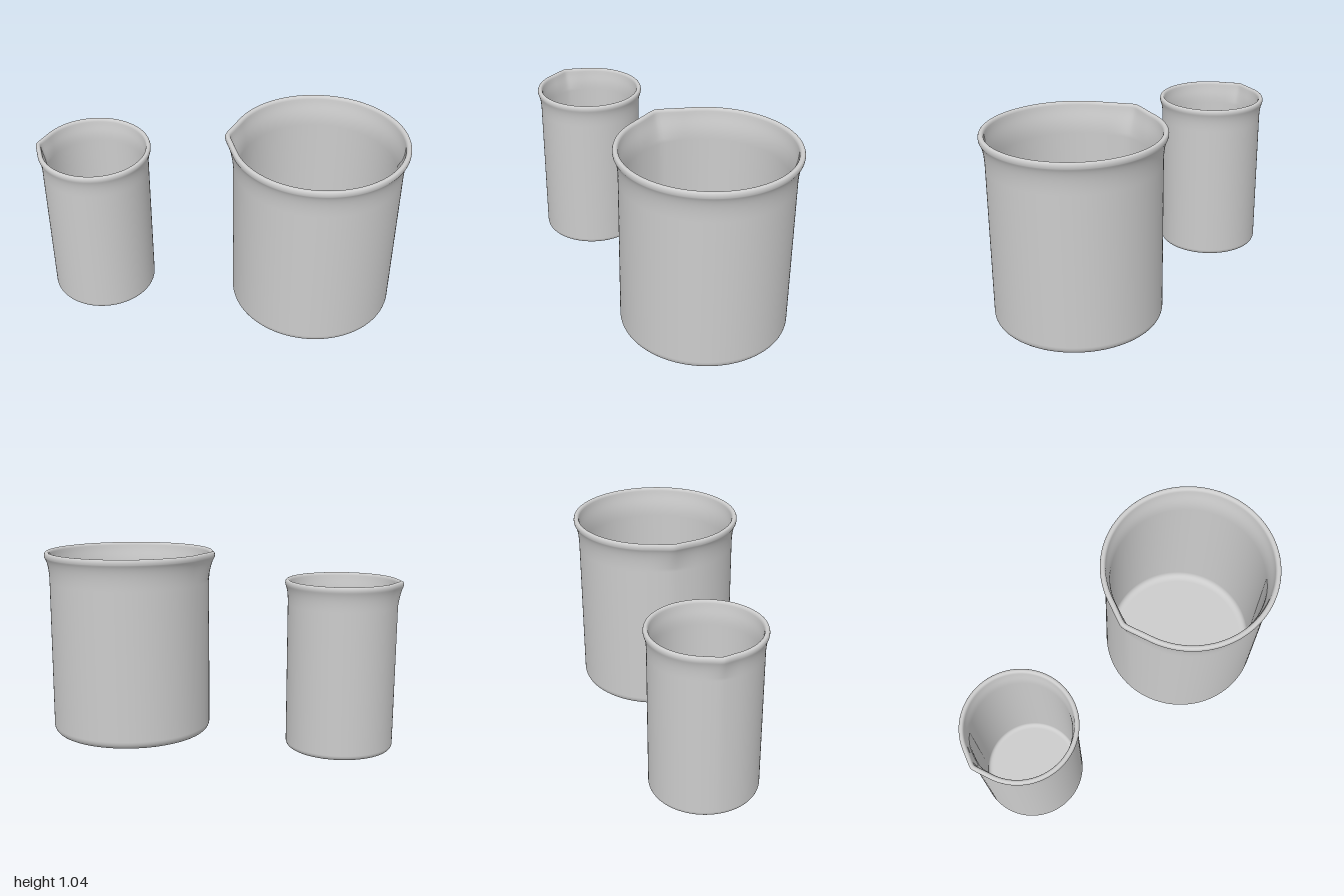
import * as THREE from 'three';
import { mergeVertices } from 'three/addons/utils/BufferGeometryUtils.js';

const material = new THREE.MeshStandardMaterial({ color: 0xcccccc });

// Closed wall section: base, outer wall, flared rounded lip, inner wall, floor
function wallProfile({ radius, rim, height, wall, fillet, flare, lip }) {
  const inner = radius - wall;
  const lipBase = height - lip;
  const mid = height - lip / 2;
  const p = new THREE.Path();
  p.moveTo(0, 0);
  p.lineTo(radius - fillet, 0);
  p.bezierCurveTo(radius - fillet * 0.4, 0, radius, fillet * 0.4, radius, fillet);
  p.lineTo(radius, height - flare);
  p.bezierCurveTo(radius, height - flare * 0.55, radius + (rim - radius) * 0.4, lipBase - lip * 0.6, rim - 0.003, lipBase);
  p.quadraticCurveTo(rim + 0.002, mid, rim - 0.004, height - lip * 0.15);
  p.quadraticCurveTo(rim - 0.008, height, rim - 0.014, height);
  p.quadraticCurveTo(rim - wall, height, rim - wall - 0.003, mid);
  p.bezierCurveTo(rim - wall - 0.008, lipBase - lip, inner, height - flare * 0.55, inner, height - flare);
  p.lineTo(inner, wall + fillet);
  p.quadraticCurveTo(inner, wall, inner - fillet, wall);
  p.lineTo(0, wall);
  return p.getPoints(10);
}

// Revolved cup whose upper edge is drawn out into a pouring spout on the -x side
function beaker(name, o) {
  let geo = new THREE.LatheGeometry(wallProfile(o), 144, Math.PI / 2);
  const pos = geo.attributes.position;
  const reach = Math.acos(o.rim / (o.rim + o.spout));
  for (let i = 0; i < pos.count; i++) {
    const x = pos.getX(i), y = pos.getY(i), z = pos.getZ(i);
    const r = Math.hypot(x, z);
    if (r < 1e-6) continue;
    const angle = Math.hypot(Math.atan2(z, -x), 0.03); // slightly blunted tip
    if (angle >= reach) continue;
    // Straight tangent sides meet at the tip; the pull fades down the wall
    const fade = THREE.MathUtils.smoothstep(y, o.height - o.flare * 1.6, o.height - o.lip * 0.3);
    const pull = o.rim * (1 / Math.cos(reach - angle) - 1) * fade * 1.08;
    const k = (r + pull) / r;
    const lift = o.lift * fade * (1 - angle / reach);
    pos.setXYZ(i, x * k, y + lift, z * k);
  }
  geo.deleteAttribute('normal');
  geo.deleteAttribute('uv');
  geo = mergeVertices(geo, 1e-5);
  geo.computeVertexNormals();
  const mesh = new THREE.Mesh(geo, material);
  mesh.name = name;
  mesh.position.x = o.x;
  return mesh;
}

export function createModel() {
  const group = new THREE.Group();
  group.name = 'beakers';
  group.add(
    beaker('largeBeaker', {
      x: 0.526, radius: 0.447, rim: 0.473, height: 1.03, wall: 0.027,
      fillet: 0.045, flare: 0.17, lip: 0.032, spout: 0.03, lift: 0.007,
    }),
    beaker('smallBeaker', {
      x: -0.679, radius: 0.288, rim: 0.304, height: 0.912, wall: 0.024,
      fillet: 0.028, flare: 0.13, lip: 0.03, spout: 0.019, lift: 0.003,
    }),
  );
  return group;
}
